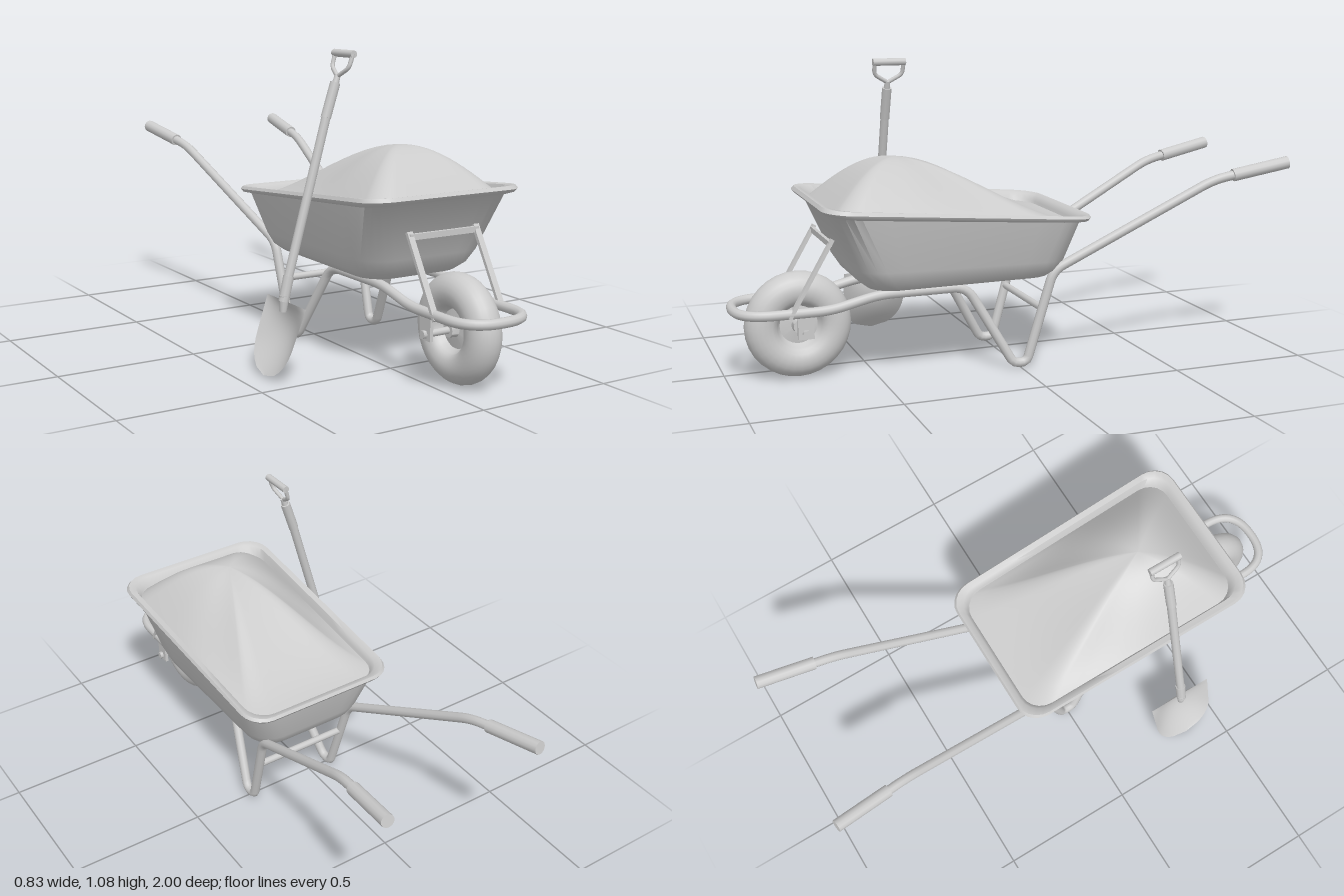
import * as THREE from 'three';
import { toCreasedNormals } from 'three/addons/utils/BufferGeometryUtils.js';

const CX = 0.09; // centre line of the barrow
const V = (x, y, z) => new THREE.Vector3(x, y, z);
const lerp = THREE.MathUtils.lerp;
const grey = new THREE.MeshStandardMaterial({ color: 0xcccccc });
const greyThin = new THREE.MeshStandardMaterial({ color: 0xcccccc, side: THREE.DoubleSide });

function add(parent, name, geometry, material = grey) {
  const mesh = new THREE.Mesh(geometry, material);
  mesh.name = name;
  parent.add(mesh);
  return mesh;
}

// Cylinder or cone between two points
function rod(parent, name, a, b, r0, r1 = r0, sides = 10) {
  const mesh = add(parent, name, new THREE.CylinderGeometry(r1, r0, a.distanceTo(b), sides));
  mesh.position.copy(a).add(b).multiplyScalar(0.5);
  mesh.quaternion.setFromUnitVectors(V(0, 1, 0), b.clone().sub(a).normalize());
  return mesh;
}

// Straight runs joined by rounded bends; each point is [x, y, z, bend]
function bentPath(points) {
  const path = new THREE.CurvePath();
  const p = points.map(q => V(q[0], q[1], q[2]));
  let from = p[0];
  for (let i = 1; i < p.length - 1; i++) {
    const cut = points[i][3];
    const a = p[i].clone().add(p[i - 1].clone().sub(p[i]).setLength(cut));
    const b = p[i].clone().add(p[i + 1].clone().sub(p[i]).setLength(cut));
    path.add(new THREE.LineCurve3(from, a));
    path.add(new THREE.QuadraticBezierCurve3(a, p[i], b));
    from = b;
  }
  path.add(new THREE.LineCurve3(from, p[p.length - 1]));
  return path;
}

// Skin over rows of points
function loft(rows, closed) {
  const n = rows[0].length, index = [];
  for (let j = 0; j < rows.length - 1; j++) {
    for (let i = 0; i < (closed ? n : n - 1); i++) {
      const a = j * n + i, b = j * n + (i + 1) % n;
      index.push(a, a + n, b + n, a, b + n, b);
    }
  }
  const g = new THREE.BufferGeometry().setFromPoints(rows.flat());
  g.setIndex(index);
  g.computeVertexNormals();
  return g;
}

// Rounded, slightly tapered and tilted rectangle seen from above
function tubRing([zF, zB, hw, r, yF, yB]) {
  const pts = [], outline = [];
  for (let k = 0; k < 4; k++) {
    const sx = k === 0 || k === 3 ? 1 : -1, front = k < 2;
    for (let i = 0; i <= 5; i++) {
      const a = (k + i / 5) * Math.PI / 2;
      outline.push([sx * (hw - r) + r * Math.cos(a), (front ? zF - r : zB + r) + r * Math.sin(a)]);
    }
  }
  outline.forEach(([x, z], i) => {
    const [x2, z2] = outline[(i + 1) % outline.length];
    const steps = i % 6 === 5 ? 8 : 1;
    for (let s = 0; s < steps; s++) {
      const px = lerp(x, x2, s / steps), pz = lerp(z, z2, s / steps), t = (pz - zB) / (zF - zB);
      pts.push(V(CX + px * lerp(0.95, 1, t), lerp(yB, yF, t), pz));
    }
  });
  return pts;
}

function buildTub(parent) {
  // Outside from the bottom up, over the rim, and down the inside
  const sections = [
    [0.21, 0.19, 0.01, 0.005, 0.312, 0.312],
    [0.49, -0.09, 0.15, 0.08, 0.314, 0.314],
    [0.535, -0.13, 0.195, 0.09, 0.324, 0.324],
    [0.57, -0.155, 0.225, 0.1, 0.352, 0.346],
    [0.60, -0.175, 0.243, 0.1, 0.40, 0.385],
    [0.683, -0.213, 0.287, 0.09, 0.598, 0.525],
    [0.708, -0.235, 0.307, 0.085, 0.608, 0.528],
    [0.718, -0.242, 0.313, 0.085, 0.62, 0.538],
    [0.710, -0.236, 0.307, 0.085, 0.632, 0.548],
    [0.690, -0.215, 0.285, 0.08, 0.628, 0.543],
    [0.672, -0.203, 0.275, 0.08, 0.60, 0.525],
    [0.59, -0.165, 0.233, 0.09, 0.40, 0.39],
    [0.49, -0.09, 0.15, 0.08, 0.325, 0.325],
    [0.21, 0.19, 0.01, 0.005, 0.323, 0.323],
  ];
  add(parent, 'tub', toCreasedNormals(loft(sections.map(tubRing), true), 0.9));

  // Heap: steep at the front and sides, long slope to the back
  const edge = tubRing([0.672, -0.203, 0.275, 0.08, 0.592, 0.515]);
  const rows = [], steps = 14;
  for (let j = 0; j <= steps; j++) {
    const s = j / steps;
    rows.push(edge.map(p => {
      const dx = p.x - CX, dz = p.z - 0.4;
      const back = Math.max(0, -dz / Math.hypot(dx, dz));
      const rise = lerp(Math.sin(s * Math.PI / 2), s * s * (3 - 2 * s), back * back);
      const z = lerp(p.z, 0.4, s);
      return V(lerp(p.x, CX, s), lerp(0.515, 0.592, (z + 0.203) / 0.875) + 0.186 * rise, z);
    }));
  }
  add(parent, 'sandHeap', loft(rows, true));
}

function buildFrame(parent) {
  // One bent tube: handle, leg, skid, front loop, then mirrored back
  const half = [
    [0.297, 0.70, -0.985, 0], [0.262, 0.645, -0.71, 0.05], [0.187, 0.345, -0.12, 0.04],
    [0.175, 0.018, -0.025, 0.022], [0.175, 0.018, 0.025, 0.022], [0.13, 0.30, 0.185, 0.05],
    [0.13, 0.30, 0.5, 0.05], [0.13, 0.26, 0.67, 0.05], [0.13, 0.26, 0.978, 0.125],
  ];
  const mirrored = half.slice().reverse().map(([x, ...rest]) => [-x, ...rest]);
  const path = bentPath([...half, ...mirrored].map(([x, ...rest]) => [CX + x, ...rest]));
  path.arcLengthDivisions = 1500;
  add(parent, 'frameTube', new THREE.TubeGeometry(path, 320, 0.017, 10));

  for (const s of [-1, 1]) {
    const x = d => CX + s * d;
    rod(parent, 'handleGrip', V(x(0.272), 0.66, -0.785), V(x(0.298), 0.70, -0.995), 0.023, 0.023, 12);
    const strut = add(parent, 'frontStrut', new THREE.BoxGeometry(0.022, 0.30, 0.012));
    strut.position.set(x(0.135), 0.375, 0.735);
    strut.rotation.x = -Math.atan2(0.145, 0.25);
    const bracket = add(parent, 'axleBracket', new THREE.BoxGeometry(0.012, 0.085, 0.055));
    bracket.position.set(x(0.13), 0.212, 0.755);
    rod(parent, 'axleNut', V(x(0.125), 0.19, 0.755), V(x(0.148), 0.19, 0.755), 0.014, 0.014, 6);
  }
  const bar = add(parent, 'strutCrossbar', new THREE.BoxGeometry(0.28, 0.02, 0.012));
  bar.position.set(CX, 0.49, 0.668);
  rod(parent, 'legCrossbar', V(CX - 0.18, 0.21, -0.08), V(CX + 0.18, 0.21, -0.08), 0.013);
}

function buildWheel(parent) {
  const wheel = new THREE.Group();
  wheel.name = 'wheel';
  wheel.position.set(CX, 0.19, 0.755);
  parent.add(wheel);
  // Hub, dished disc and fat tyre in one profile
  const side = [[0.001, 0.045], [0.024, 0.045], [0.026, 0.018], [0.066, 0.012], [0.078, 0.032]];
  const profile = side.map(([r, a]) => new THREE.Vector2(r, -a));
  for (let i = -8; i <= 8; i++) {
    const a = i / 8 * 2.3;
    profile.push(new THREE.Vector2(0.124 + 0.062 * Math.cos(a), 0.06 * Math.sin(a)));
  }
  side.reverse().forEach(([r, a]) => profile.push(new THREE.Vector2(r, a)));
  const body = add(wheel, 'tyreAndHub', toCreasedNormals(new THREE.LatheGeometry(profile, 32), 0.7));
  body.rotation.z = Math.PI / 2;
  rod(wheel, 'axle', V(-0.13, 0, 0), V(0.13, 0, 0), 0.012);
}

function buildShovel(parent) {
  const shovel = new THREE.Group();
  shovel.name = 'shovel';
  parent.add(shovel);
  const Z = 0.36;

  // Scooped blade, hollow on the outer side
  const rows = [];
  for (let j = 0; j <= 16; j++) {
    const v = j / 16, row = [];
    const w = 0.127 * (1 - 0.1 * v) * Math.sqrt(Math.max(0, 1 - Math.max(0, (v - 0.5) / 0.5) ** 2.4));
    for (let i = 0; i <= 12; i++) {
      const u = i / 6 - 1;
      const bulge = 0.042 * (1 - u * u) * Math.sin(Math.PI * Math.pow(v, 0.8));
      row.push(V(lerp(-0.328, -0.415, v) + bulge, lerp(0.248, 0.006, v) - bulge * 0.3, Z + u * w));
    }
    rows.push(row);
  }
  add(shovel, 'blade', loft(rows, false), greyThin);

  // Socket and shaft
  rod(shovel, 'socket', V(-0.34, 0.215, Z), V(-0.335, 0.27, Z), 0.012, 0.018);
  rod(shovel, 'socketSleeve', V(-0.338, 0.25, Z), V(-0.318, 0.335, Z), 0.018, 0.019);
  rod(shovel, 'shaft', V(-0.328, 0.30, Z), V(-0.172, 0.86, Z), 0.016);
  rod(shovel, 'shaftCollar', V(-0.174, 0.855, Z), V(-0.137, 0.97, Z), 0.018);

  // Forked handle with a cross grip
  rod(shovel, 'forkStem', V(-0.139, 0.96, Z), V(-0.127, 0.995, Z), 0.013, 0.01);
  for (const s of [-1, 1]) {
    const arm = bentPath([
      [-0.129, 0.99, Z, 0], [-0.117, 1.02, Z + s * 0.052, 0.015], [-0.103, 1.065, Z + s * 0.054, 0],
    ]);
    add(shovel, 'forkArm', new THREE.TubeGeometry(arm, 12, 0.0075, 8));
  }
  rod(shovel, 'crossGrip', V(-0.103, 1.065, Z - 0.06), V(-0.103, 1.065, Z + 0.06), 0.013);
}

export function createModel() {
  const group = new THREE.Group();
  group.name = 'wheelbarrow';
  buildTub(group);
  buildFrame(group);
  buildWheel(group);
  buildShovel(group);
  return group;
}
